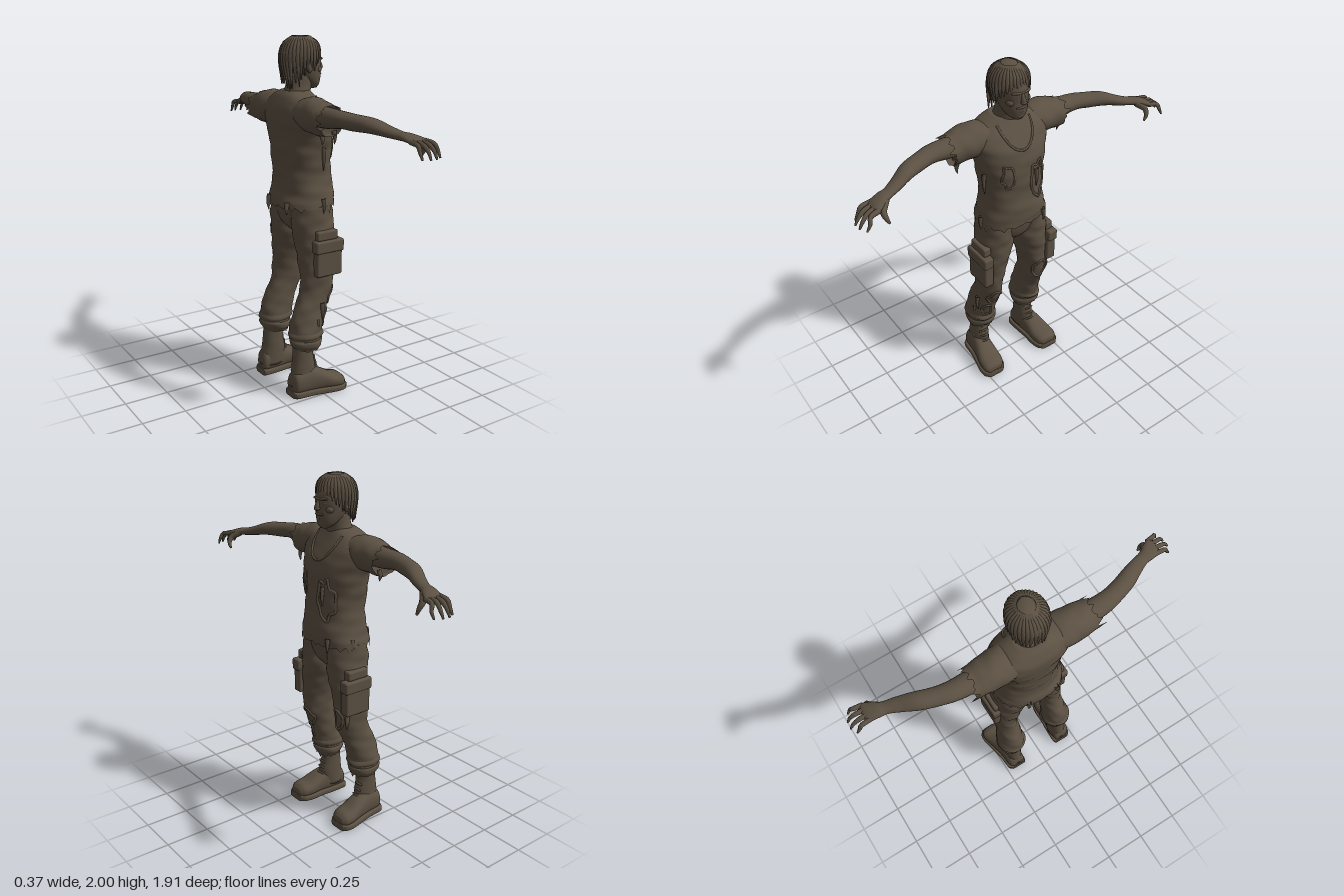
import * as THREE from 'three';
import { RoundedBoxGeometry } from 'three/addons/geometries/RoundedBoxGeometry.js';

const V = (x, y, z) => new THREE.Vector3(x, y, z);

export function createModel() {
  const drab = new THREE.MeshStandardMaterial({ color: 0x5b5042, side: THREE.DoubleSide });
  drab.name = 'drab brown';
  const body = new THREE.Group();
  body.name = 'figure';

  let seed = 7;
  const rnd = () => (seed = (seed * 16807) % 2147483647) / 2147483647;

  const add = (name, geo) => {
    const m = new THREE.Mesh(geo, drab);
    m.name = name;
    body.add(m);
    return m;
  };

  // Adds a part on the left (+x) and its reflection on the right
  const pair = (name, geo) => {
    const g = geo.clone().scale(-1, 1, 1);
    const list = g.index ? g.index.array : g.attributes.position.array.map((_, i) => i).slice(0, g.attributes.position.count);
    const idx = Array.from(list);
    for (let i = 0; i < idx.length; i += 3) [idx[i], idx[i + 1]] = [idx[i + 1], idx[i]];
    g.setIndex(idx);
    const n = g.attributes.normal;
    for (let i = 0; i < n.count; i++) n.setX(i, -geo.attributes.normal.getX(i));
    const p = geo.attributes.normal;
    for (let i = 0; i < n.count; i++) n.setXYZ(i, -p.getX(i), p.getY(i), p.getZ(i));
    return [add('left' + name, geo), add('right' + name, g)];
  };

  // Smooth skin over oval sections [x, y, z, a, b]; a and b lie along (z,x), (y,z) or (x,y)
  // for the axes y, x and z. fold adds cloth wrinkles, jag0/jag1 tear the first/last edge.
  const loft = (axis, rings, { n = 32, sub = 5, p = 2, fold = 0, jag0 = 0, jag1 = 0 } = {}) => {
    const mid = new THREE.CatmullRomCurve3(rings.map(r => V(r[0], r[1], r[2])), false, 'catmullrom');
    const size = new THREE.CatmullRomCurve3(rings.map(r => V(r[3], r[4], 0)), false, 'catmullrom');
    const [u, v] = { x: ['y', 'z'], y: ['z', 'x'], z: ['x', 'y'] }[axis];
    const pow = c => Math.sign(c) * Math.abs(c) ** (2 / p);
    const rows = (rings.length - 1) * sub, pos = [], idx = [];
    for (let i = 0; i <= rows; i++) {
      const c = mid.getPoint(i / rows), s = size.getPoint(i / rows), w = c[axis];
      for (let j = 0; j < n; j++) {
        const a = j / n * Math.PI * 2, q = c.clone();
        const k = 1 + fold * (Math.sin(3 * a + 38 * w) + 0.7 * Math.sin(5 * a - 55 * w) + 0.5 * Math.sin(2 * a + 90 * w));
        q[u] += s.x * k * pow(Math.cos(a));
        q[v] += s.y * k * pow(Math.sin(a));
        if (i === 0) q[axis] -= jag0 * rnd() * (j % 3 ? 0.3 : 1);
        if (i === rows) q[axis] += jag1 * rnd() * (j % 3 ? 0.3 : 1);
        pos.push(q.x, q.y, q.z);
        if (i < rows) {
          const A = i * n + j, B = i * n + (j + 1) % n;
          idx.push(A, B, A + n, B, B + n, A + n);
        }
      }
    }
    // End caps, left out on torn edges
    [[0, jag0], [rows, jag1]].forEach(([row, torn]) => {
      if (torn) return;
      const c = mid.getPoint(row / rows), id = pos.length / 3;
      pos.push(c.x, c.y, c.z);
      for (let j = 0; j < n; j++) {
        const A = row * n + j, B = row * n + (j + 1) % n;
        row ? idx.push(A, B, id) : idx.push(B, A, id);
      }
    });
    const g = new THREE.BufferGeometry();
    g.setAttribute('position', new THREE.Float32BufferAttribute(pos, 3));
    g.setIndex(idx);
    g.computeVertexNormals();
    return g;
  };

  // Tube that narrows from r0 to r1
  const taper = (pts, r0, r1, seg = 10, rad = 8) => {
    const curve = new THREE.CatmullRomCurve3(pts);
    const g = new THREE.TubeGeometry(curve, seg, r0, rad);
    const P = g.attributes.position, q = V();
    for (let i = 0; i < P.count; i++) {
      const t = Math.floor(i / (rad + 1)) / seg, c = curve.getPointAt(t);
      q.fromBufferAttribute(P, i).sub(c).multiplyScalar(1 + (r1 / r0 - 1) * t * t).add(c);
      P.setXYZ(i, q.x, q.y, q.z);
    }
    return g;
  };

  const ball = (x, y, z, a, b, c) => new THREE.SphereGeometry(1, 20, 14).scale(a, b, c).translate(x, y, z);

  // Raised cloth edge laid onto the front of a garment
  const rim = (name, target, pts, r, closed) => {
    const on = pts.map(([x, y]) => {
      const hit = new THREE.Raycaster(V(x, y, 2), V(0, 0, -1)).intersectObject(target)[0];
      return hit && hit.point;
    }).filter(Boolean);
    if (on.length > 3) add(name, new THREE.TubeGeometry(new THREE.CatmullRomCurve3(on, closed), 60, r, 6, closed));
  };
  const ragged = (cx, cy, rx, ry) => Array.from({ length: 14 }, (_, i) => {
    const a = i / 14 * Math.PI * 2, k = 0.75 + 0.4 * rnd();
    return [cx + Math.cos(a) * rx * k, cy + Math.sin(a) * ry * k];
  });

  // Shirt with torn hem, neckline and tears
  const shirt = add('shirt', loft('y', [
    [0, 1.1, 0, 0.165, 0.205], [0, 1.17, 0.01, 0.156, 0.188], [0, 1.27, 0.005, 0.147, 0.173],
    [0, 1.38, 0, 0.151, 0.183], [0, 1.47, -0.005, 0.152, 0.2], [0, 1.56, -0.02, 0.145, 0.225],
    [0, 1.63, -0.035, 0.12, 0.215], [0, 1.68, -0.04, 0.092, 0.15], [0, 1.71, -0.035, 0.07, 0.085],
  ], { n: 60, sub: 7, p: 2.3, fold: 0.011, jag0: 0.06 }));
  rim('neckline', shirt, [[-0.1, 1.68], [-0.09, 1.63], [-0.05, 1.57], [0, 1.55], [0.05, 1.57], [0.09, 1.63], [0.1, 1.68]], 0.007, false);
  rim('chestTear', shirt, ragged(0.085, 1.34, 0.05, 0.12), 0.008, true);
  rim('shirtTear', shirt, ragged(-0.1, 1.42, 0.03, 0.07), 0.006, true);

  // Sleeves
  pair('Sleeve', loft('x', [
    [0.1, 1.6, -0.04, 0.075, 0.095], [0.19, 1.6, -0.045, 0.092, 0.1], [0.28, 1.592, -0.048, 0.09, 0.093],
    [0.34, 1.585, -0.045, 0.08, 0.085],
  ], { fold: 0.018, jag1: 0.06 }));

  // Arms and hands
  pair('Arm', loft('x', [
    [0.2, 1.6, -0.05, 0.06, 0.06], [0.34, 1.6, -0.045, 0.054, 0.06], [0.45, 1.605, -0.04, 0.044, 0.055],
    [0.53, 1.6, -0.02, 0.042, 0.052], [0.62, 1.595, 0.012, 0.038, 0.052], [0.7, 1.575, 0.05, 0.028, 0.043],
    [0.76, 1.562, 0.075, 0.022, 0.036], [0.8, 1.558, 0.09, 0.021, 0.044], [0.85, 1.545, 0.11, 0.018, 0.055],
    [0.872, 1.535, 0.112, 0.013, 0.05],
  ], { n: 24 }));
  [[0.068, 0.066, 0.935], [0.097, 0.102, 0.953], [0.126, 0.14, 0.95], [0.152, 0.178, 0.93]].forEach(([z0, z1, x1]) =>
    pair('Finger', taper([V(0.845, 1.545, z0), V(0.9, 1.535, (z0 + z1) / 2), V(0.93 + (x1 - 0.95), 1.508, z1), V(x1, 1.473, z1)], 0.014, 0.005)));
  pair('Thumb', taper([V(0.79, 1.555, 0.11), V(0.825, 1.525, 0.15), V(0.822, 1.495, 0.168), V(0.808, 1.463, 0.168)], 0.02, 0.006));

  // Trousers
  add('trouserSeat', loft('y', [
    [0, 0.93, 0, 0.06, 0.05], [0, 0.98, 0, 0.105, 0.13], [0, 1.05, 0.003, 0.124, 0.192], [0, 1.14, 0.005, 0.13, 0.18],
  ], { n: 40 }));
  const legs = pair('TrouserLeg', loft('y', [
    [0.165, 0.31, -0.07, 0.08, 0.08], [0.165, 0.37, -0.073, 0.095, 0.083], [0.162, 0.44, -0.06, 0.1, 0.075],
    [0.158, 0.52, -0.035, 0.099, 0.067], [0.153, 0.6, 0, 0.1, 0.066], [0.15, 0.7, 0.01, 0.1, 0.076],
    [0.135, 0.8, 0.01, 0.107, 0.088], [0.12, 0.9, 0.01, 0.117, 0.104], [0.11, 1, 0.005, 0.124, 0.101],
    [0.105, 1.1, 0.005, 0.12, 0.098],
  ], { n: 40, sub: 7, fold: 0.02 }));
  pair('Cuff', loft('y', [
    [0.165, 0.285, -0.072, 0.072, 0.075], [0.165, 0.305, -0.072, 0.087, 0.088], [0.165, 0.33, -0.074, 0.096, 0.088],
    [0.165, 0.345, -0.075, 0.09, 0.08], [0.165, 0.365, -0.073, 0.103, 0.09], [0.163, 0.4, -0.07, 0.09, 0.075],
  ], { n: 40, fold: 0.025, jag0: 0.025 }));
  rim('leftKneeTear', legs[0], ragged(0.145, 0.66, 0.045, 0.06), 0.008, true);
  rim('rightKneeTear', legs[1], ragged(-0.155, 0.57, 0.045, 0.06), 0.008, true);
  rim('rightShinTear', legs[1], ragged(-0.185, 0.45, 0.025, 0.05), 0.007, true);

  // Cargo pockets
  const box = (x, y, z, w, h, d) => new RoundedBoxGeometry(w, h, d, 3, 0.012).translate(x, y, z);
  pair('Pocket', box(0.217, 0.785, 0.035, 0.06, 0.155, 0.165));
  pair('PocketFlap', box(0.222, 0.878, 0.035, 0.062, 0.07, 0.182));
  pair('UpperFlap', box(0.212, 0.938, 0.028, 0.05, 0.055, 0.135));

  // Boots
  pair('BootShaft', loft('y', [
    [0.17, 0.06, -0.1, 0.075, 0.055], [0.168, 0.15, -0.09, 0.074, 0.053], [0.166, 0.24, -0.092, 0.062, 0.05],
    [0.166, 0.33, -0.088, 0.061, 0.05],
  ], { n: 28, fold: 0.008 }));
  const foot = [
    [0.17, 0.07, -0.172, 0.038, 0.045], [0.175, 0.08, -0.15, 0.053, 0.068], [0.18, 0.085, -0.07, 0.057, 0.08],
    [0.19, 0.077, 0, 0.062, 0.066], [0.198, 0.06, 0.07, 0.071, 0.046], [0.203, 0.052, 0.12, 0.066, 0.04],
    [0.205, 0.044, 0.147, 0.042, 0.026],
  ];
  pair('BootFoot', loft('z', foot, { n: 28, p: 2.3 }));
  pair('BootSole', loft('z', foot.map(r => [r[0], 0.019, r[2] * 1.04, r[3] + 0.008, 0.019]), { n: 28, p: 5 }));
  [[0.12, 0.02], [0.15, -0.008], [0.185, -0.018], [0.22, -0.026]].forEach(([y, z]) =>
    pair('BootLace', taper([V(0.145, y - 0.01, z - 0.01), V(0.172, y, z + 0.004), V(0.2, y - 0.01, z - 0.01)], 0.006, 0.006)));

  // Neck and head
  add('neck', loft('y', [
    [0, 1.62, -0.045, 0.08, 0.12], [0, 1.68, -0.03, 0.075, 0.085], [0, 1.73, -0.015, 0.07, 0.069], [0, 1.8, 0, 0.07, 0.066],
  ]));
  add('head', loft('y', [
    [0, 1.715, 0.078, 0.018, 0.025], [0, 1.738, 0.06, 0.048, 0.052], [0, 1.775, 0.035, 0.081, 0.07],
    [0, 1.82, 0.018, 0.098, 0.081], [0, 1.87, 0.01, 0.108, 0.087], [0, 1.92, 0, 0.104, 0.088],
    [0, 1.965, -0.005, 0.078, 0.068], [0, 1.985, -0.005, 0.03, 0.03],
  ]));
  add('nose', taper([V(0, 1.868, 0.108), V(0, 1.84, 0.122), V(0, 1.822, 0.125)], 0.01, 0.017));
  add('noseTip', ball(0, 1.822, 0.125, 0.017, 0.012, 0.014));
  add('brow', ball(0, 1.872, 0.1, 0.058, 0.01, 0.02));
  add('upperLip', ball(0, 1.79, 0.108, 0.034, 0.008, 0.014));
  add('lowerLip', ball(0, 1.768, 0.102, 0.026, 0.008, 0.014));
  add('beard', ball(0, 1.742, 0.072, 0.045, 0.03, 0.038));
  pair('Eye', ball(0.034, 1.85, 0.094, 0.014, 0.009, 0.014));
  pair('Cheek', ball(0.045, 1.818, 0.075, 0.026, 0.022, 0.026));
  pair('Ear', ball(0.088, 1.835, 0.0, 0.012, 0.032, 0.02));

  // Hair cap and hanging locks, short over the face and long at the nape
  const cap = new THREE.SphereGeometry(1, 32, 20, 0, Math.PI * 2, 0, Math.PI * 0.62);
  cap.rotateX(-0.45).scale(0.1, 0.108, 0.115).translate(0, 1.888, -0.005);
  add('hair', cap);
  for (let i = 0; i < 34; i++) {
    const a = i / 34 * Math.PI * 2, s = Math.sin(a), c = Math.cos(a);
    const end = 1.79 + 0.075 * Math.max(c, 0) ** 0.5 - 0.06 * Math.max(-c, 0) + (rnd() - 0.5) * 0.04;
    add('hairLock', taper([V(s * 0.035, 1.982, c * 0.04), V(s * 0.08, 1.95, c * 0.088), V(s * 0.098, 1.895, c * 0.108 - 0.003),
      V(s * 0.096 + (rnd() - 0.5) * 0.02, end, c * 0.1)], 0.015, 0.003, 10, 6));
  }

  // Loose rags on shirt, sleeves and legs
  [
    [-0.18, 1.42, 0.03, 0.13], [0.19, 1.13, 0.04, 0.08], [-0.2, 1.14, 0.02, 0.09], [0.12, 1.14, 0.15, 0.08],
    [-0.1, 1.12, -0.15, 0.07], [0.08, 1.13, -0.155, 0.09], [0.33, 1.54, -0.02, 0.06], [-0.32, 1.53, 0, 0.07],
    [-0.3, 1.51, -0.06, 0.05], [0.07, 1.42, 0.145, 0.11], [-0.225, 0.55, 0, 0.1], [-0.225, 0.46, -0.03, 0.08], [0.2, 0.69, 0.08, 0.08],
  ].forEach(([x, y, z, len]) =>
    add('rag', taper([V(x, y, z), V(x * 1.03, y - len * 0.5, z * 1.04), V(x * 1.01, y - len, z * 1.02)], 0.014, 0.002, 8, 5)));

  // The figure looks along +x with its arms along z
  body.rotation.y = Math.PI / 2;
  const model = new THREE.Group();
  model.name = 'raggedMan';
  model.add(body);
  return model;
}
